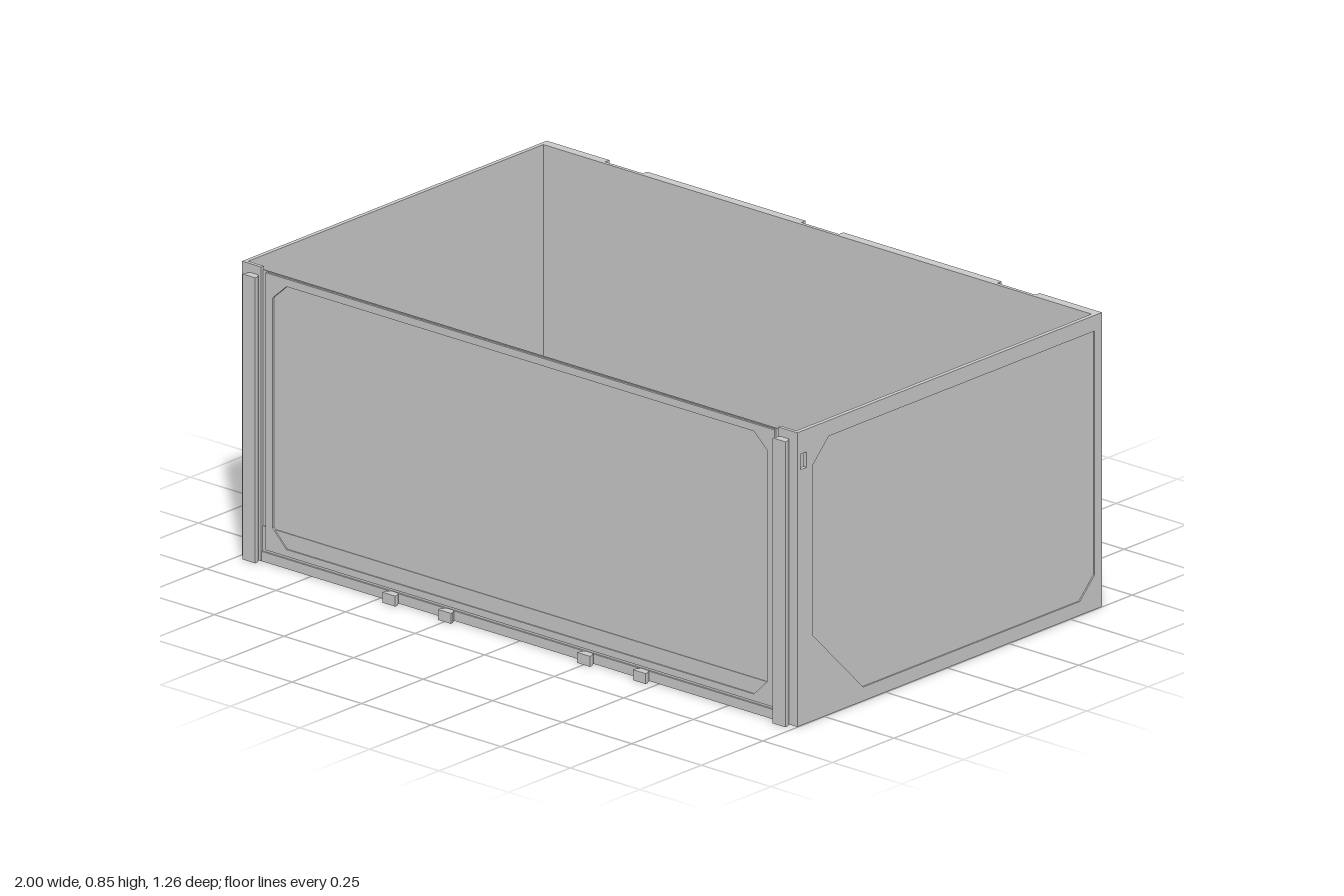
import * as THREE from 'three';

const H = 0.845;
const V2 = (x, y) => new THREE.Vector2(x, y);
const mat = new THREE.MeshStandardMaterial({ color: 0xcccccc });
const thin = new THREE.MeshStandardMaterial({ color: 0xcccccc, side: THREE.DoubleSide });

const rect = (x0, x1, y0, y1) => [V2(x0, y0), V2(x1, y0), V2(x1, y1), V2(x0, y1)];

function roundRect(cx, cy, hx, hy, r) {
  const pts = [];
  [[1, 1], [-1, 1], [-1, -1], [1, -1]].forEach(([sx, sy], q) => {
    for (let i = 0; i <= 5; i++) {
      const a = (q + i / 5) * Math.PI / 2;
      pts.push(V2(cx + sx * (hx - r) + r * Math.cos(a), cy + sy * (hy - r) + r * Math.sin(a)));
    }
  });
  return pts;
}

function circle(cx, cy, r, n = 20) {
  return Array.from({ length: n }, (_, i) => V2(cx + r * Math.cos(i * 2 * Math.PI / n), cy + r * Math.sin(i * 2 * Math.PI / n)));
}

// Four-armed opening left between the rounded corner tabs of a cell
function crossHole(cx, cy) {
  const quarter = [V2(0.143, -0.05), V2(0.143, 0.05), V2(0.13, 0.063)];
  for (let i = 0; i <= 8; i++) {
    const a = -Math.PI / 2 - i / 8 * Math.PI / 2;
    quarter.push(V2(0.103 + 0.04 * Math.cos(a), 0.103 + 0.04 * Math.sin(a)));
  }
  quarter.push(V2(0.063, 0.13));
  const pts = [];
  for (let q = 0; q < 4; q++)
    quarter.forEach(p => pts.push(p.clone().rotateAround(V2(0, 0), q * Math.PI / 2).add(V2(cx, cy))));
  return pts;
}

function shapeOf(outline, holes = []) {
  const s = new THREE.Shape(outline);
  holes.forEach(h => s.holes.push(new THREE.Path(h)));
  return s;
}

const slab = (outline, holes, depth) =>
  new THREE.ExtrudeGeometry(shapeOf(outline, holes), { depth, bevelEnabled: false });

// Surface between successive loops, each [points, height along z]
function loft(loops) {
  const pos = [];
  for (let k = 0; k + 1 < loops.length; k++) {
    const [a, za] = loops[k], [b, zb] = loops[k + 1];
    for (let i = 0; i < a.length; i++) {
      const j = (i + 1) % a.length;
      pos.push(a[i].x, a[i].y, za, b[j].x, b[j].y, zb, a[j].x, a[j].y, za);
      pos.push(a[i].x, a[i].y, za, b[i].x, b[i].y, zb, b[j].x, b[j].y, zb);
    }
  }
  const g = new THREE.BufferGeometry();
  g.setAttribute('position', new THREE.Float32BufferAttribute(pos, 3));
  g.computeVertexNormals();
  return g;
}

export function createModel() {
  const model = new THREE.Group();
  const add = (parent, name, geo, x = 0, y = 0, z = 0, m = mat) => {
    const mesh = new THREE.Mesh(geo, m);
    mesh.name = name;
    mesh.position.set(x, y, z);
    parent.add(mesh);
    return mesh;
  };
  const box = (name, x0, x1, y0, y1, z0, z1) =>
    add(model, name, new THREE.BoxGeometry(x1 - x0, y1 - y0, z1 - z0), (x0 + x1) / 2, (y0 + y1) / 2, (z0 + z1) / 2);

  // Floor, drawn flat: local y is -z, local z is up
  const floor = new THREE.Group();
  floor.name = 'floor';
  floor.rotation.x = -Math.PI / 2;
  model.add(floor);
  const cells = [];
  for (let i = 0; i < 5; i++) for (let j = 0; j < 3; j++) cells.push([-0.755 + i * 0.3345, 0.34 - j * 0.3345]);
  const crosses = cells.map(c => crossHole(...c));
  const pegs = r => cells.flatMap(([x, y]) =>
    [[1, 1], [-1, 1], [-1, -1], [1, -1]].map(([a, b]) => circle(x + a * 0.103, y + b * 0.103, r)));
  const base = rect(-0.99, 0.99, -0.604, 0.615);
  add(floor, 'bottomPlate', slab(base, [...crosses, ...pegs(0.012)], 0.015));
  add(floor, 'cornerPocketPlate', slab(base, [...crosses, ...pegs(0.026)], 0.013), 0, 0, 0.015);

  // Grid ribs with stepped, tapering cell walls, plus the long side trough
  const pockets = [...cells.map(([x, y]) => [x, y, 0.162, 0.162]), [0.832, 0.006, 0.078, 0.496]];
  const pocketRing = ([x, y, hx, hy], inset) => roundRect(x, y, hx - inset, hy - inset, 0.032 - inset * 0.6);
  add(floor, 'gridTop', new THREE.ShapeGeometry(
    shapeOf(rect(-0.955, 0.945, -0.5, 0.515), pockets.map(p => pocketRing(p, 0)))), 0, 0, 0.065, thin);
  pockets.forEach(p => add(floor, 'cellWall', loft([
    [pocketRing(p, 0), 0.065], [pocketRing(p, 0.013), 0.049],
    [pocketRing(p, 0.013), 0.035], [pocketRing(p, 0.018), 0.028]]), 0, 0, 0, thin));
  for (const z of [-0.17, 0.16]) for (const x of [0.768, 0.896])
    box('troughTab', x - 0.012, x + 0.012, 0.028, 0.06, z - 0.016, z + 0.016);

  // Sloping border and raised ledges around the grid
  add(floor, 'borderSlope', loft([
    [rect(-0.955, 0.945, -0.5, 0.515), 0.065], [rect(-0.988, 0.988, -0.53, 0.54), 0.1]]), 0, 0, 0, thin);
  box('frontLedge', -0.988, 0.988, 0.02, 0.1, 0.53, 0.602);
  box('backLedge', -0.988, 0.988, 0.02, 0.1, -0.605, -0.54);

  // Side walls with a shallow chamfered panel and a through slot
  const slot = rect(0.57, 0.595, 0.735, 0.78);
  const sidePanel = [V2(-0.6, 0.1), V2(-0.54, 0.04), V2(0.34, 0.04), V2(0.545, 0.245),
    V2(0.545, 0.735), V2(0.48, 0.8), V2(-0.6, 0.8)];
  const sideOutline = rect(-0.618, 0.607, 0, H);
  const wall = slab(sideOutline, [slot], 0.009).rotateY(-Math.PI / 2);
  const frame = slab(sideOutline, [slot, sidePanel], 0.004).rotateY(-Math.PI / 2);
  add(model, 'leftWall', wall, 0.994);
  add(model, 'leftWallFrame', frame, 0.998);
  add(model, 'rightWall', wall, -0.985);
  add(model, 'rightWallFrame', frame, -0.994);

  // Front wall: thin sheet, frame with an octagonal panel, corner columns
  box('frontWall', -0.93, 0.93, 0, 0.835, 0.596, 0.6);
  const octagon = [V2(-0.89, 0.105), V2(-0.84, 0.055), V2(0.84, 0.055), V2(0.89, 0.105),
    V2(0.89, 0.765), V2(0.84, 0.81), V2(-0.84, 0.81), V2(-0.89, 0.765)];
  add(model, 'frontFrame', slab(rect(-0.915, 0.915, 0.035, 0.832), [octagon], 0.006), 0, 0, 0.6);
  box('frontSill', -0.93, 0.93, 0, 0.028, 0.6, 0.607);
  for (const s of [-1, 1]) box('frontColumn', s * 0.9635 - 0.0345, s * 0.9635 + 0.0345, 0, H, 0.597, 0.608);

  // Dovetail rails and feet, wider at the outside
  const dovetail = [V2(-0.014, 0), V2(0.014, 0), V2(0.023, -0.016), V2(0.023, -0.024), V2(-0.023, -0.024), V2(-0.023, -0.016)];
  const strip = h => slab(dovetail, [], h).rotateX(-Math.PI / 2);
  for (const s of [-1, 1]) {
    add(model, 'frontRail', strip(0.82), s * 0.953, 0, 0.607);
    for (const x of [0.25, 0.45]) add(model, 'frontFoot', strip(0.03), s * x, 0, 0.607);
  }

  // Back wall: frame with three open-topped sockets and bevelled recesses
  const columns = [-0.705, 0, 0.705], half = 0.068, depth = 0.018;
  box('backWall', -0.99, 0.99, 0, H, -0.613, -0.602);
  const outline = [V2(-0.998, 0), V2(0.998, 0), V2(0.998, H)];
  [...columns].reverse().forEach(x => outline.push(
    V2(x + half, H), V2(x + half, 0.685), V2(x - half, 0.685), V2(x - half, H)));
  outline.push(V2(-0.998, H));
  const recesses = columns.map(x => rect(x - half, x + half, 0.025, 0.635));
  for (const s of [-1, 1]) for (const [c, h] of [[0.882, 0.09], [0.3525, 0.266]])
    recesses.push(rect(s * c - h, s * c + h, 0.025, 0.815));
  const shrink = r => rect(r[0].x + 0.02, r[1].x - 0.02, r[0].y + 0.02, r[2].y - 0.02);
  add(model, 'backFrame', new THREE.ShapeGeometry(shapeOf(outline, recesses)), 0, 0, -0.63, thin);
  add(model, 'backFrameEdge', loft([[outline, -0.63], [outline, -0.63 + depth]]), 0, 0, 0, thin);
  recesses.forEach(r => add(model, 'backRecess', loft([[r, -0.63], [shrink(r), -0.63 + depth]]), 0, 0, 0, thin));

  // Top rim closing the back frame between the sockets
  const stops = [-0.998, ...columns.flatMap(x => [x - half, x + half]), 0.998];
  for (let i = 0; i < stops.length; i += 2) box('backRim', stops[i], stops[i + 1], H - 0.008, H, -0.629, -0.612);
  return model;
}
